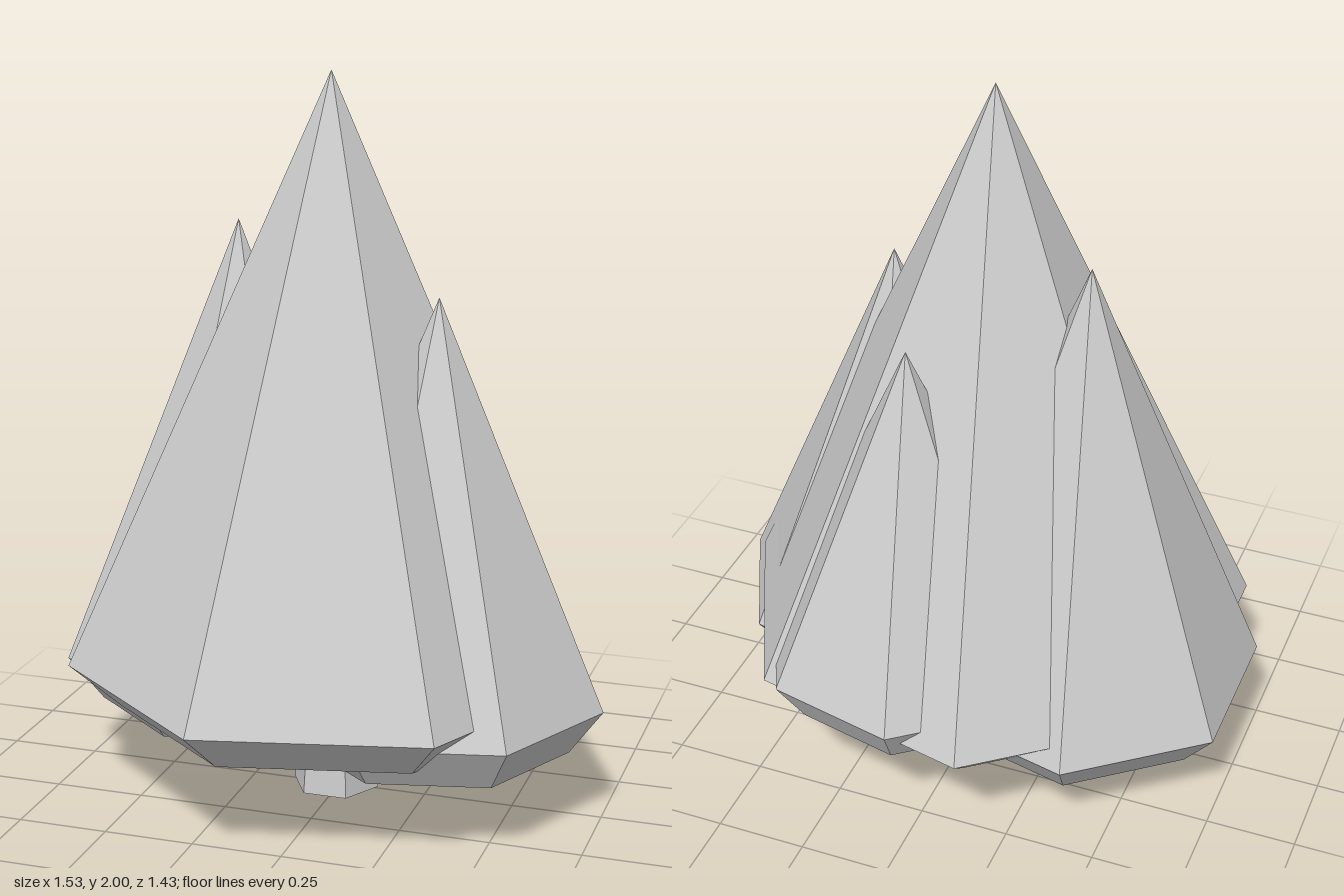
import * as THREE from 'three';

export function createModel() {
  const tree = new THREE.Group();
  tree.name = 'lowPolyTree';
  const grey = new THREE.MeshStandardMaterial({ color: 0xcccccc });
  grey.name = 'light grey';
  grey.flatShading = true;
  grey.side = THREE.DoubleSide;

  // Hollow seven-sided foliage cone with a rim that turns inward below
  function foliage(name, x, z, tip, rim, radius) {
    const profile = [
      new THREE.Vector2(radius * 0.805, rim - 0.125),
      new THREE.Vector2(radius, rim),
      new THREE.Vector2(0, tip),
    ];
    const mesh = new THREE.Mesh(new THREE.LatheGeometry(profile, 7, Math.PI / 2), grey);
    mesh.name = name;
    mesh.position.set(x, 0, z);
    tree.add(mesh);
  }
  foliage('mainFoliage', -0.02, 0.005, 2.0, 0.39, 0.728);
  foliage('leftFoliage', 0.297, 0.075, 1.43, 0.335, 0.465);
  foliage('rightFoliage', -0.315, -0.085, 1.58, 0.335, 0.498);
  foliage('backFoliage', 0.1, -0.315, 1.375, 0.44, 0.415);

  // Tapered six-sided trunk, running up inside the foliage
  const trunk = new THREE.Mesh(
    new THREE.CylinderGeometry(0.08, 0.123, 0.5, 6, 1, false, Math.PI / 2), grey);
  trunk.name = 'trunk';
  trunk.position.set(-0.012, 0.25, -0.01);
  tree.add(trunk);

  return tree;
}
